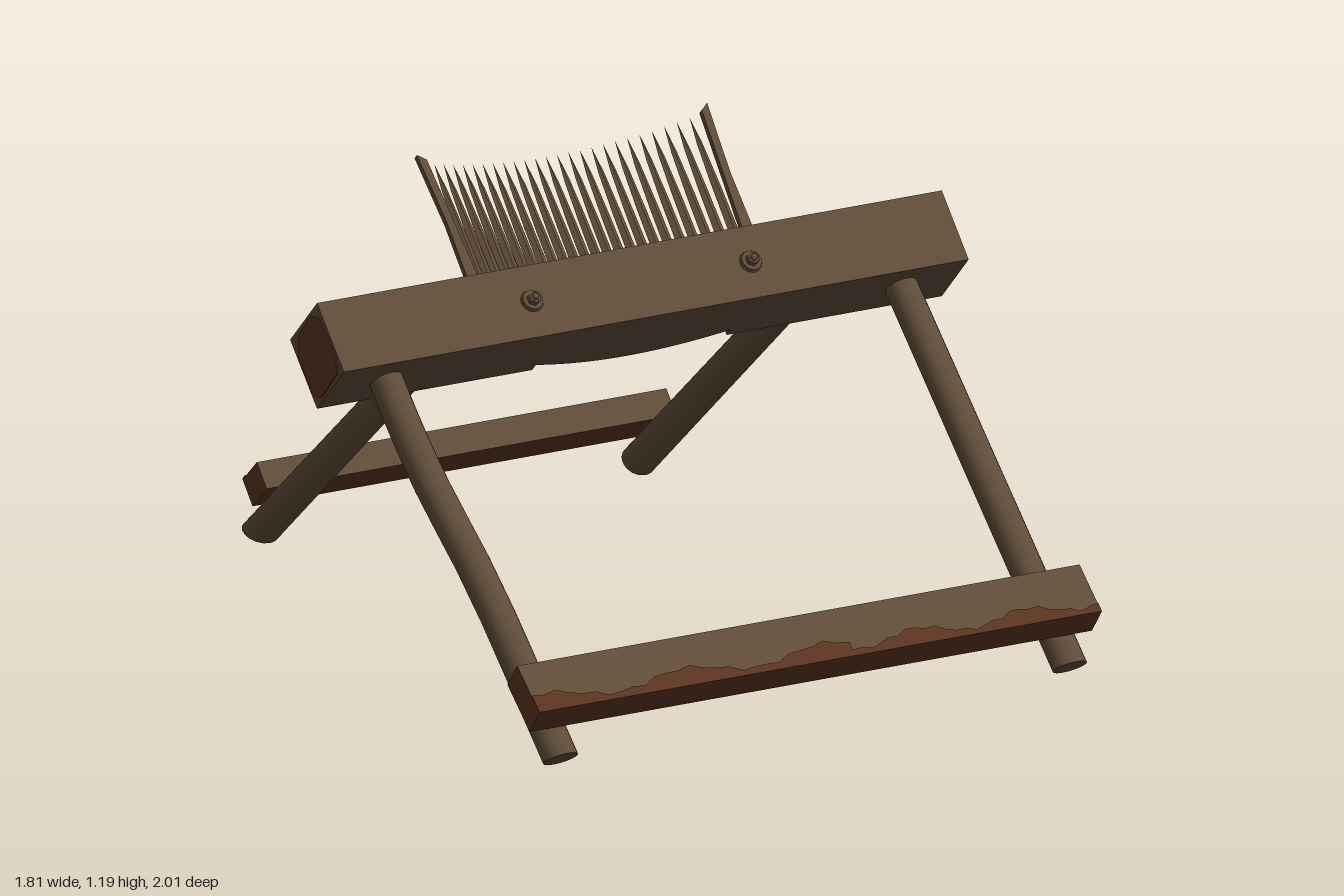
import * as THREE from 'three';
import { toCreasedNormals } from 'three/addons/utils/BufferGeometryUtils.js';

const wood = new THREE.MeshStandardMaterial({ color: 0x5f4c38 });
wood.name = 'brown wood';
const red = new THREE.MeshStandardMaterial({ color: 0x5a3520 });
red.name = 'reddish worn wood';

function add(parent, name, geometry, material = wood) {
  const mesh = new THREE.Mesh(geometry, material);
  mesh.name = name;
  parent.add(mesh);
  return mesh;
}

const shapeOf = (pts) => new THREE.Shape(pts.map(([x, y]) => new THREE.Vector2(x, y)));
const extrude = (pts, depth) => new THREE.ExtrudeGeometry(shapeOf(pts), { depth, bevelEnabled: false });

// Bow of the comb: how far it swells towards the lower back face at a given x
const bow = (x, crest) => crest - 0.58 * x * x;

// Points along the bow from x = a to x = b
function bowPoints(a, b, crest, n = 20) {
  return Array.from({ length: n + 1 }, (_, i) => {
    const x = a + ((b - a) * i) / n;
    return [x, bow(x, crest)];
  });
}

// Round pole along a path (beam end first), its foot sliced by a sloping plane
function leg(path, radius, [footY, footZ, slope]) {
  const curve = new THREE.CatmullRomCurve3(path.map((p) => new THREE.Vector3(...p)));
  const geo = new THREE.CylinderGeometry(radius * 0.95, radius, 1, 16, 10);
  const pos = geo.attributes.position;
  const side = new THREE.Vector3(1, 0, 0);
  for (let i = 0; i < pos.count; i++) {
    const t = Math.min(1, Math.max(0, 0.5 - pos.getY(i)));
    const axis = curve.getTangent(t).negate();
    const across = new THREE.Vector3().crossVectors(side, axis).normalize();
    const p = curve.getPoint(t).addScaledVector(side, pos.getX(i)).addScaledVector(across, pos.getZ(i));
    if (t > 0.999) {
      const out = Math.sign(p.z) * axis.z;
      p.addScaledVector(axis, (footY + slope * (Math.abs(p.z) - footZ) - p.y) / (axis.y - slope * out));
    }
    pos.setXYZ(i, p.x, p.y, p.z);
  }
  return toCreasedNormals(geo, 0.7);
}

// Thin ragged strip lying flat, straight along one long edge
function wornStrip(x0, x1, width, seed) {
  const n = 26;
  const pts = [[x1, 0], [x0, 0]];
  for (let i = 0; i <= n; i++) {
    const wave = 0.6 + 0.3 * Math.sin(i * 0.55 + seed) + 0.1 * Math.sin(i * 2.3 + seed * 3);
    pts.push([x0 + ((x1 - x0) * i) / n, width * wave]);
  }
  return extrude(pts.reverse(), 0.003).rotateX(-Math.PI / 2);
}

export function createModel() {
  const model = new THREE.Group();
  model.name = 'combBench';

  // Head: beam turned on its edge; local y runs along the teeth, local -z to the lower back
  const head = new THREE.Group();
  head.name = 'head';
  head.position.y = 0.845;
  head.rotation.x = -Math.PI / 4;
  model.add(head);

  // Beam with a bowed recess in its lower back face
  const beam = extrude([
    [-0.9, -0.1], [0.9, -0.1], [0.9, 0.1], [0.28, 0.1],
    ...bowPoints(0.28, -0.28, 0.118),
    [-0.28, 0.1], [-0.9, 0.1],
  ], 0.2).rotateX(-Math.PI / 2).translate(0, -0.1, 0);
  add(head, 'beam', beam);

  // Worn patches on the beam ends
  const patch = [[-0.09, -0.06], [-0.06, -0.092], [0.07, -0.088], [0.092, -0.05],
    [0.088, 0.06], [0.05, 0.09], [-0.05, 0.086], [-0.088, 0.04]];
  for (const s of [1, -1]) {
    const end = add(head, 'beamEndPatch', extrude(patch, 0.003), red);
    end.rotation.y = (s * Math.PI) / 2;
    end.position.x = s * 0.9;
  }

  // Bowed comb plate
  const plate = extrude([
    ...bowPoints(0.41, -0.41, 0.116), ...bowPoints(-0.41, 0.41, 0.096),
  ], 0.14).rotateX(-Math.PI / 2);
  add(head, 'combPlate', plate);

  // Pointed teeth following the bow
  const profile = [[0.0155, 0.08], [0.0125, 0.28], [0.008, 0.4], [0, 0.475]];
  const tooth = toCreasedNormals(
    new THREE.LatheGeometry(profile.map((p) => new THREE.Vector2(...p)), 4).scale(1, 1, 0.65), 0.4);
  for (let i = 1; i < 25; i++) {
    const x = -0.4 + i * 0.032;
    add(head, 'tooth', tooth).position.set(x, 0, -bow(x, 0.106));
  }

  // Flat flared guards at both ends of the comb
  const guard = [[0.378, 0.08], [0.412, 0.08], [0.408, 0.3], [0.418, 0.497], [0.396, 0.48], [0.388, 0.3]];
  for (const s of [1, -1]) {
    const pts = guard.map(([x, y]) => [s * x, y]);
    add(head, 'combGuard', extrude(pts, 0.018).translate(0, 0, -bow(0.4, 0.106) - 0.009));
  }

  // Bolts with washers on the upper front face
  for (const x of [-0.32, 0.31]) {
    const bolt = new THREE.Group();
    bolt.name = 'bolt';
    bolt.position.set(x, 0, 0.1);
    bolt.rotation.x = Math.PI / 2;
    head.add(bolt);
    add(bolt, 'washer', new THREE.CylinderGeometry(0.027, 0.031, 0.012, 16).translate(0, 0.004, 0));
    add(bolt, 'nut', new THREE.CylinderGeometry(0.017, 0.018, 0.018, 6).translate(0, 0.016, 0));
    add(bolt, 'boltTip', new THREE.SphereGeometry(0.01, 10, 6).translate(0, 0.026, 0));
  }

  // Front legs: one straight, one sagging
  add(model, 'frontLegLeft', leg([[0.74, 0.83, 0.02], [0.74, 0.03, 0.969]], 0.045, [0.008, 0.93, 0.7]));
  add(model, 'frontLegRight', leg([
    [-0.737, 0.82, 0.02], [-0.742, 0.69, 0.165], [-0.733, 0.56, 0.3],
    [-0.722, 0.37, 0.55], [-0.727, 0.03, 0.969],
  ], 0.046, [0.008, 0.93, 0.7]));

  // Back legs
  add(model, 'backLegLeft', leg([[0.537, 0.815, -0.02], [0.537, 0.03, -0.944]], 0.045, [0.01, 0.895, 0.8]));
  const backRight = leg([[-0.544, 0.815, -0.02], [-0.544, 0.02, -0.955]], 0.045, [0.01, 0.895, 0.28]);
  add(model, 'backLegRight', backRight);

  // Front crossbar lying on the legs
  const frontBar = new THREE.Group();
  frontBar.name = 'frontCrossbar';
  frontBar.position.set(0.005, 0.19, 0.912);
  frontBar.rotation.x = 0.66;
  model.add(frontBar);
  add(frontBar, 'frontBar', new THREE.BoxGeometry(1.62, 0.084, 0.148), [red, red, wood, red, red, wood]);
  for (const [x0, x1, width, seed] of [[-0.81, 0.1, 0.06, 1], [0.1, 0.81, 0.055, 4]]) {
    add(frontBar, 'wornStrip', wornStrip(x0, x1, width, seed), red).position.set(0, 0.042, 0.074);
  }

  // Back crossbar, smaller
  const backBar = new THREE.Group();
  backBar.name = 'backCrossbar';
  backBar.position.set(0.005, 0.173, -0.903);
  backBar.rotation.x = -0.75;
  model.add(backBar);
  add(backBar, 'backBar', new THREE.BoxGeometry(1.18, 0.076, 0.102), [red, red, wood, red, wood, wood]);
  const strip = add(backBar, 'wornStrip', wornStrip(-0.59, -0.35, 0.04, 2), red);
  strip.position.set(-0.94, 0.038, -0.051);
  strip.rotation.y = Math.PI;

  return model;
}
